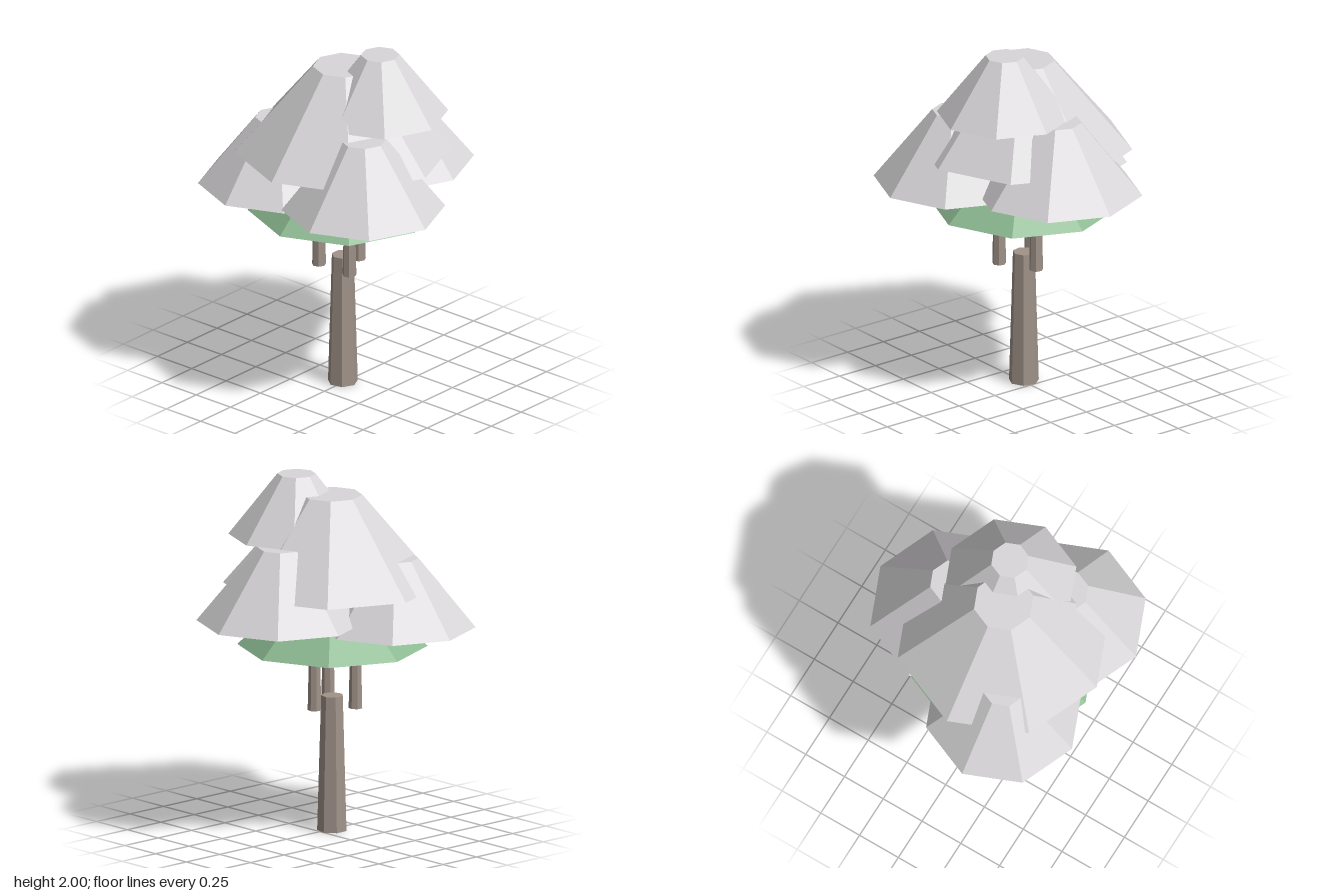
import * as THREE from 'three';

const flat = (name, color) => {
  const m = new THREE.MeshStandardMaterial({ color, flatShading: true });
  m.name = name;
  return m;
};

export function createModel() {
  const tree = new THREE.Group();
  tree.name = 'tree';
  const snow = flat('pale grey', 0xd8d6d8);
  const leaf = flat('soft green', 0x8dba92);
  const bark = flat('grey brown', 0xa09389);

  // Tapered faceted prism from y0 to y1, with one corner pointing to +x
  const taper = (name, material, sides, x, z, y0, y1, r0, r1) => {
    const g = new THREE.CylinderGeometry(r1, r0, y1 - y0, sides);
    g.rotateY(Math.PI / 2);
    const mesh = new THREE.Mesh(g, material);
    mesh.name = name;
    mesh.position.set(x, (y0 + y1) / 2, z);
    tree.add(mesh);
  };

  // Trunk and the three boughs that hold the crown
  taper('trunk', bark, 7, -0.014, 0.08, 0, 0.765, 0.084, 0.062);
  taper('leftBough', bark, 7, 0.1, 0.155, 0.7, 1.1, 0.039, 0.03);
  taper('rightBough', bark, 7, -0.122, 0.155, 0.7, 1.1, 0.039, 0.03);
  taper('backBough', bark, 7, -0.004, -0.043, 0.7, 1.1, 0.039, 0.03);

  // Crown: a green underlayer and five overlapping pale tiers
  taper('lowerFoliage', leaf, 8, -0.015, 0.08, 1.05, 1.41, 0.525, 0.135);
  taper('frontRightTier', snow, 8, -0.325, 0.268, 1.18, 1.57, 0.44, 0.125);
  taper('frontLeftTier', snow, 8, 0.31, 0.28, 1.21, 1.62, 0.452, 0.127);
  taper('backTier', snow, 8, 0.02, -0.272, 1.24, 1.655, 0.467, 0.128);
  taper('middleTier', snow, 8, -0.014, 0.077, 1.4, 1.905, 0.6, 0.168);
  taper('topTier', snow, 8, 0.185, -0.004, 1.655, 2, 0.376, 0.106);

  return tree;
}
